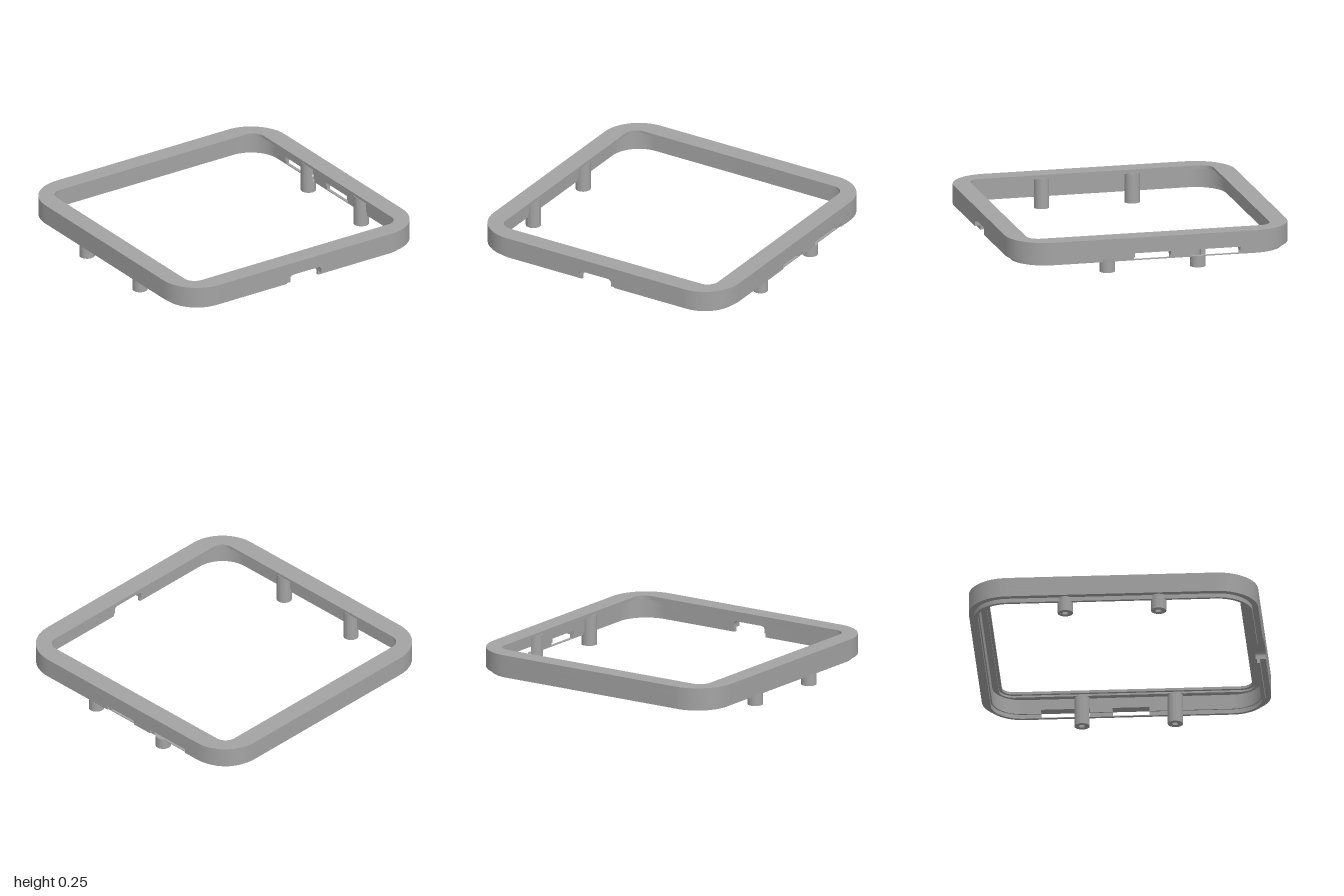
import * as THREE from 'three';
import { toCreasedNormals } from 'three/addons/utils/BufferGeometryUtils.js';

const R = 0.28; // outer corner radius
const CORNERS = [[1, 1], [1, -1], [-1, -1], [-1, 1]]; // walking round from the front

export function createModel() {
  const model = new THREE.Group();
  model.name = 'squareBezel';
  const grey = new THREE.MeshStandardMaterial({ color: 0xa3a3a3 });
  grey.name = 'grey plastic';

  const add = (name, geometry, parent = model) => {
    const mesh = new THREE.Mesh(toCreasedNormals(geometry, 0.6), grey);
    mesh.name = name;
    parent.add(mesh);
    return mesh;
  };

  // Extrude a plan shape (drawn as x, -z) upward from y0 to y1
  const slab = (shape, y0, y1) =>
    new THREE.ExtrudeGeometry(shape, { depth: y1 - y0, bevelEnabled: false, curveSegments: 24 })
      .rotateX(-Math.PI / 2)
      .translate(0, y0, 0);

  // Points round chosen corners of the square, inset from its outer edge
  const cornerPoints = (inset, corners, radius = R - inset) => {
    const points = [];
    for (const k of corners) {
      const [sx, sz] = CORNERS[k];
      const c = 1 - inset - radius;
      for (let i = 0; i <= 16; i++) {
        const a = Math.PI / 2 * (1 - k - i / 16);
        points.push(new THREE.Vector2(sx * c + radius * Math.cos(a), -(sz * c + radius * Math.sin(a))));
      }
    }
    return points;
  };

  // Closed rounded square ring
  const ring = (name, outer, inner, y0, y1, innerRadius) => {
    const shape = new THREE.Shape(cornerPoints(outer, [0, 1, 2, 3]));
    shape.holes.push(new THREE.Path(cornerPoints(inner, [0, 1, 2, 3], innerRadius)));
    return add(name, slab(shape, y0, y1));
  };

  // Part of a ring between two cuts on the front or right side
  const end = ([side, t], inset) =>
    side === 'front' ? new THREE.Vector2(t, -(1 - inset)) : new THREE.Vector2(1 - inset, -t);
  const partRing = (name, outer, inner, y0, y1, from, corners, to) => {
    const edge = (inset) => [end(from, inset), ...cornerPoints(inset, corners), end(to, inset)];
    add(name, slab(new THREE.Shape([...edge(outer), ...edge(inner).reverse()]), y0, y1));
  };

  // Openings: front notch and two right-hand slots
  const notch = 0.13;
  const notchR = ['front', notch], notchL = ['front', -notch];
  const notched = (name, outer, inner, y0, y1) =>
    partRing(name, outer, inner, y0, y1, notchR, [0, 1, 2, 3], notchL);
  const slotted = (name, outer, inner, y0, y1) => {
    partRing(name, outer, inner, y0, y1, notchR, [0], ['right', 0.145]);
    partRing(name, outer, inner, y0, y1, ['right', -0.11], [], ['right', -0.265]);
    partRing(name, outer, inner, y0, y1, ['right', -0.605], [1, 2, 3], notchL);
  };

  // Locating lip, outer wall and top plate, from the bottom up
  notched('lipBottom', 0.04, 0.062, 0.075, 0.08);
  slotted('lip', 0.04, 0.062, 0.08, 0.105);
  slotted('lowerWall', 0, 0.072, 0.105, 0.135);
  notched('middleWall', 0, 0.072, 0.135, 0.155);
  ring('upperWall', 0, 0.072, 0.155, 0.212);
  ring('topPlateLedge', 0, 0.115, 0.212, 0.226, 0.105);
  ring('topPlate', 0, 0.135, 0.226, 0.245, 0.085);

  // Rounded upper corners of the front notch
  for (const s of [-1, 1]) {
    const fillet = new THREE.Shape();
    fillet.moveTo(s * notch, 0.155);
    fillet.lineTo(s * (notch - 0.03), 0.155);
    fillet.quadraticCurveTo(s * notch, 0.155, s * notch, 0.125);
    const geometry = new THREE.ExtrudeGeometry(fillet, { depth: 0.072, bevelEnabled: false });
    add('notchFillet', geometry.translate(0, 0, 0.928));
  }

  // Hollow screw posts; the rear right one is cut away on its outer half by the slot
  const postR = 0.053, boreR = 0.022;
  const tube = new THREE.Shape().absarc(0, 0, postR, 0, Math.PI * 2);
  tube.holes.push(new THREE.Path().absarc(0, 0, boreR, 0, Math.PI * 2, true));
  const halfTube = new THREE.Shape()
    .absarc(0, 0, postR, Math.PI / 2, Math.PI * 1.5)
    .absarc(0, 0, boreR, Math.PI * 1.5, Math.PI / 2, true);
  for (const x of [-0.925, 0.925]) {
    for (const z of [0.325, -0.32]) {
      const post = new THREE.Group();
      post.name = 'screwPost';
      post.position.set(x, 0, z);
      if (x > 0 && z < 0) {
        add('postFoot', slab(tube, 0, 0.08), post);
        add('postCutaway', slab(halfTube, 0.08, 0.135), post);
        add('postTop', slab(tube, 0.135, 0.215), post);
      } else {
        add('postTube', slab(tube, 0, 0.215), post);
      }
      model.add(post);
    }
  }
  return model;
}
